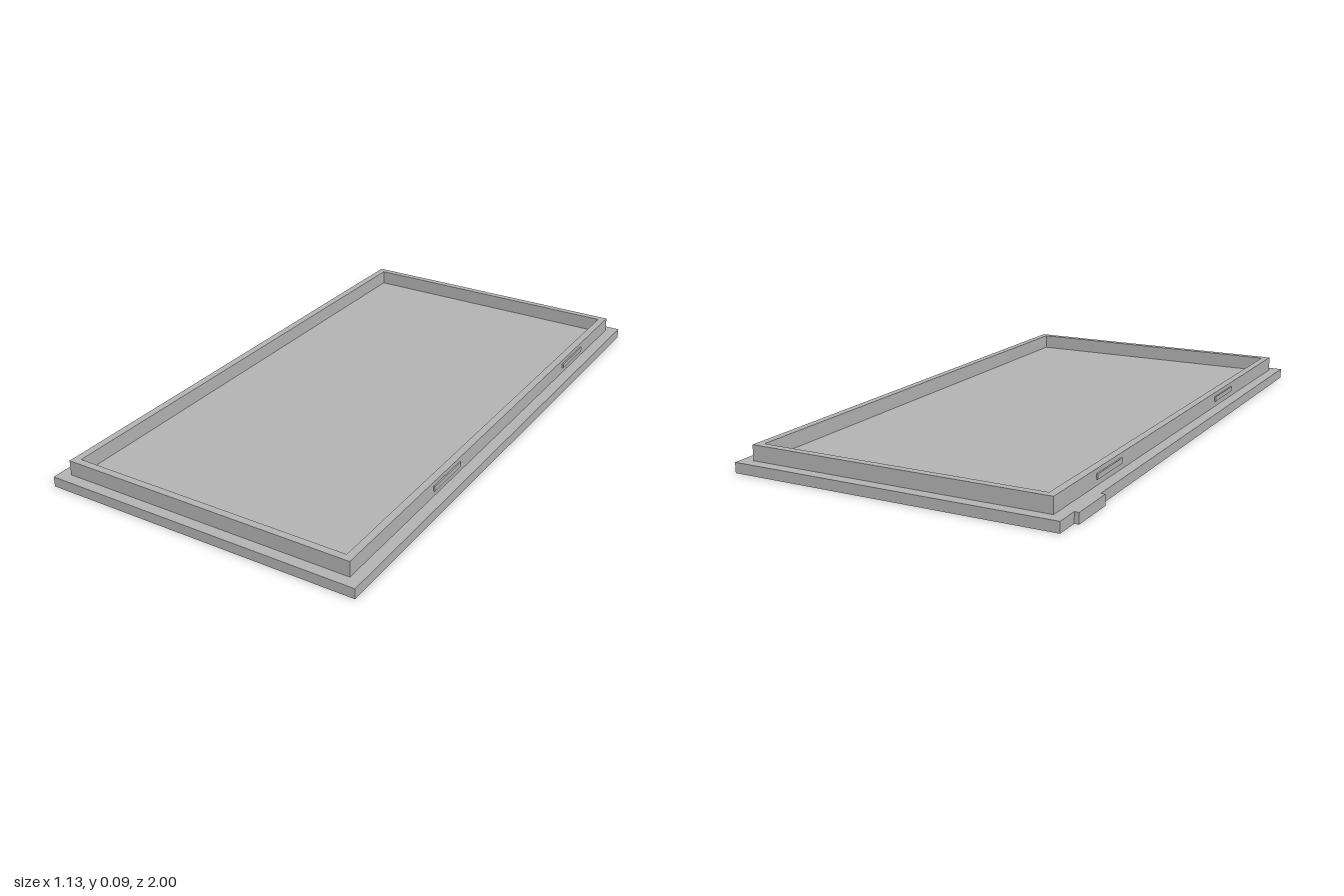
import * as THREE from 'three';

export function createModel() {
  const group = new THREE.Group();
  const grey = new THREE.MeshStandardMaterial({ color: 0xb3b3b3 });
  grey.name = 'plain grey';

  const add = (name, geometry) => {
    const mesh = new THREE.Mesh(geometry, grey);
    mesh.name = name;
    group.add(mesh);
  };
  // Box given by its limits on each axis
  const box = (name, [x0, x1], [y0, y1], [z0, z1]) =>
    add(name, new THREE.BoxGeometry(x1 - x0, y1 - y0, z1 - z0)
      .translate((x0 + x1) / 2, (y0 + y1) / 2, (z0 + z1) / 2));
  // Rectangle outline in plan
  const rect = (Type, x0, x1, z) => new Type([
    new THREE.Vector2(x0, -z), new THREE.Vector2(x1, -z),
    new THREE.Vector2(x1, z), new THREE.Vector2(x0, z),
  ]);

  const plateTop = 0.035, rimTop = 0.087;
  const rimRight = -0.513, rimLeft = 0.527;

  // Flat lid with a small pull tab on one edge
  box('lidPlate', [-0.552, 0.567], [0, plateTop], [-1, 1]);
  box('pullTab', [-0.567, -0.552], [0, plateTop], [-0.915, -0.745]);

  // Raised rim, open in the middle
  const outline = rect(THREE.Shape, rimRight, rimLeft, 0.962);
  outline.holes.push(rect(THREE.Path, -0.487, 0.501, 0.937));
  add('rim', new THREE.ExtrudeGeometry(outline, { depth: rimTop - plateTop, bevelEnabled: false })
    .rotateX(-Math.PI / 2).translate(0, plateTop, 0));

  // Snap ridges on both long sides of the rim
  for (const z of [-0.605, 0.393]) {
    const span = [z - 0.087, z + 0.087];
    box('rightSnapRidge', [rimRight - 0.005, rimRight], [0.055, 0.072], span);
    box('leftSnapRidge', [rimLeft, rimLeft + 0.005], [0.055, 0.072], span);
  }
  return group;
}
